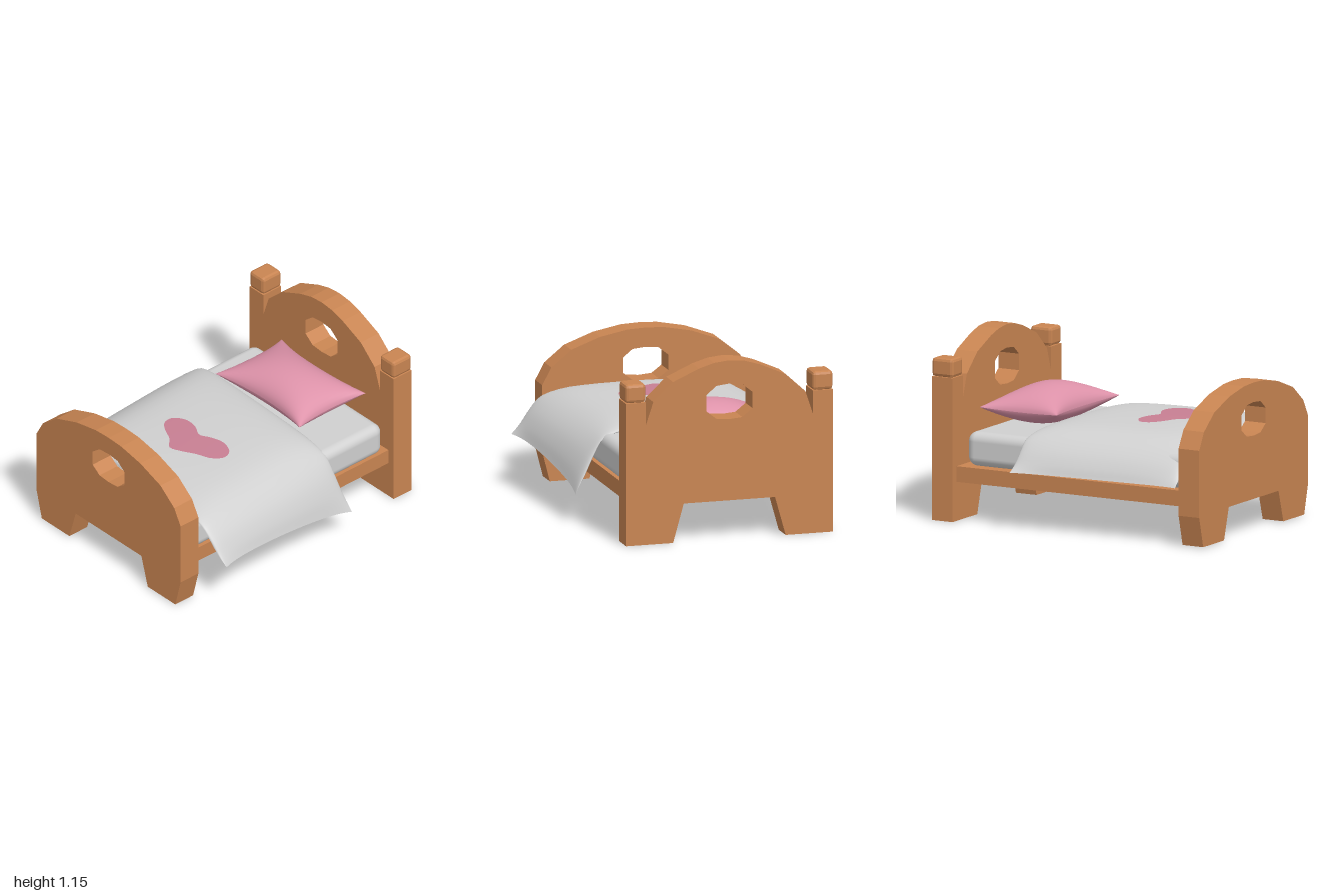
import * as THREE from 'three';
import { RoundedBoxGeometry } from 'three/addons/geometries/RoundedBoxGeometry.js';

const V2 = (p) => new THREE.Vector2(p[0], p[1]);
const mat = (name, color, opts = {}) => Object.assign(new THREE.MeshStandardMaterial({ color, ...opts }), { name });

// Closed outline from its right half (bottom to top), mirrored to the left
function mirrored(half) {
  const left = half.filter((p) => p[0] > 0).map(([x, y]) => [-x, y]).reverse();
  return [...half, ...left].map(V2);
}

// End board: symmetric outline with a hole, extruded along x from x0
function board(half, hole, x0, depth) {
  const shape = new THREE.Shape(mirrored(half));
  shape.holes.push(new THREE.Path(mirrored(hole)));
  const geo = new THREE.ExtrudeGeometry(shape, { depth, bevelEnabled: false });
  return geo.rotateY(Math.PI / 2).translate(x0, 0, 0);
}

// Stuffed cloth: an upper and a lower sheet, fn(u, v, isTop) with u, v in -1..1
function cushion(fn, n) {
  const pos = [], index = [];
  for (const top of [true, false]) {
    const base = pos.length / 3;
    for (let i = 0; i <= n; i++) for (let j = 0; j <= n; j++) {
      // sine spacing puts more rows near the seams
      const u = Math.sin((i / n - 0.5) * Math.PI), v = Math.sin((j / n - 0.5) * Math.PI);
      pos.push(...fn(u, v, top));
      if (i === n || j === n) continue;
      const a = base + i * (n + 1) + j, b = a + 1, c = a + n + 1, d = c + 1;
      index.push(...(top ? [a, b, c, b, d, c] : [a, c, b, b, c, d]));
    }
  }
  const geo = new THREE.BufferGeometry();
  geo.setAttribute('position', new THREE.Float32BufferAttribute(pos, 3));
  geo.setIndex(index);
  geo.computeVertexNormals();
  return geo;
}

export function createModel() {
  const model = new THREE.Group();
  const wood = mat('wood', 0xc98552, { flatShading: true });
  const linen = mat('linen', 0xd0d0d0, { side: THREE.DoubleSide });
  const pink = mat('pink', 0xdd92a9, { side: THREE.DoubleSide });
  const heartPink = mat('heartPink', 0xc87f93, { side: THREE.DoubleSide });

  // The frame stands slightly turned
  const frame = new THREE.Group();
  frame.name = 'frame';
  frame.position.z = -0.07;
  frame.rotation.y = 0.034;
  model.add(frame);
  const add = (parent, name, geo, material, x = 0, y = 0, z = 0) => {
    const mesh = new THREE.Mesh(geo, material);
    mesh.name = name;
    mesh.position.set(x, y, z);
    parent.add(mesh);
    return mesh;
  };

  // Headboard with posts, arch and leg cut-out
  add(frame, 'headboard', board(
    [[0, 0.25], [0.3, 0.25], [0.37, 0], [0.68, 0], [0.68, 0.92], [0.55, 0.92], [0.55, 0.77],
      [0.5, 0.92], [0.37, 1.04], [0.2, 1.115], [0.1, 1.145], [0, 1.155]],
    [[0, 0.775], [0.085, 0.782], [0.152, 0.835], [0.152, 0.94], [0.085, 0.995], [0, 1.005]],
    0.82, 0.15), wood);
  for (const s of [-1, 1]) {
    add(frame, 'postCap', new RoundedBoxGeometry(0.154, 0.12, 0.134, 1, 0.02), wood, 0.895, 0.98, s * 0.615);
  }

  // Footboard, lower, with rounded shoulders
  add(frame, 'footboard', board(
    [[0, 0.21], [0.31, 0.21], [0.37, 0.005], [0.63, 0.005], [0.68, 0.2], [0.68, 0.63],
      [0.62, 0.74], [0.49, 0.845], [0.3, 0.915], [0.12, 0.95], [0, 0.955]],
    [[0, 0.615], [0.085, 0.622], [0.15, 0.67], [0.15, 0.77], [0.085, 0.822], [0, 0.83]],
    -0.975, 0.15), wood);

  // Base and mattress
  add(frame, 'base', new THREE.BoxGeometry(1.68, 0.1, 1.26), wood, 0, 0.3, 0);
  add(frame, 'mattress', new RoundedBoxGeometry(1.61, 0.22, 1.22, 4, 0.06), linen, -0.025, 0.457, 0.025);

  // Blanket: half cross-sections from the middle out to the hanging hem
  const curve = (pts) => new THREE.CatmullRomCurve3(pts.map(([z, y]) => new THREE.Vector3(0, y, z)));
  const upper = curve([[0, 0.67], [0.3, 0.663], [0.5, 0.642], [0.63, 0.59], [0.73, 0.51], [0.79, 0.42], [0.82, 0.34]]);
  const lower = curve([[0, 0.56], [0.3, 0.56], [0.5, 0.56], [0.62, 0.54], [0.67, 0.47], [0.73, 0.4], [0.82, 0.34]]);
  const blanket = add(model, 'blanket', cushion((u, v, top) => {
    const t = Math.abs(v), s = Math.sign(v), k = (u + 1) / 2;
    const a = upper.getPoint(t), b = lower.getPoint(t);
    const seam = a.clone().lerp(b, 0.7);
    const puff = Math.sqrt(Math.max(0, 1 - u ** 4));
    const p = seam.lerp(top ? a : b, puff);
    const xFoot = -0.795 + 0.045 * v * t;
    const xHead = 0.315 + (v > 0 ? 0.055 * v ** 3 : 0);
    const hem = t ** 3 * (v > 0 ? -0.14 * k * k : 0.04);
    const reach = 0.95 + 0.03 * u ** 6;
    return [xFoot + (xHead - xFoot) * k, p.y + hem, 0.05 - 0.115 * k + s * p.z * reach];
  }, 44), linen);

  // Heart patch laid over the blanket as a thin skin
  const outline = new THREE.CatmullRomCurve3([
    [-0.49, -0.02], [-0.43, -0.09], [-0.39, -0.18], [-0.34, -0.25], [-0.27, -0.26], [-0.215, -0.18],
    [-0.225, -0.08], [-0.26, -0.005], [-0.225, 0.06], [-0.195, 0.15], [-0.225, 0.25], [-0.29, 0.28],
    [-0.36, 0.24], [-0.41, 0.14], [-0.46, 0.06],
  ].map(([x, z]) => new THREE.Vector3(x, 0, z)), true).getPoints(48);
  const ray = new THREE.Raycaster();
  const down = new THREE.Vector3(0, -1, 0);
  blanket.updateMatrixWorld(true);
  const pos = [], index = [], rings = 8;
  for (let r = 0; r <= rings; r++) outline.forEach((o, i) => {
    const p = new THREE.Vector3(-0.34, 0, 0).lerp(o, r / rings);
    ray.set(new THREE.Vector3(p.x, 2, p.z), down);
    const hit = ray.intersectObject(blanket)[0];
    pos.push(p.x, (hit ? hit.point.y : 0.67) + 0.005, p.z);
    if (r === rings || i === outline.length - 1) return;
    const a = r * outline.length + i, c = a + outline.length;
    index.push(a, c, a + 1, a + 1, c, c + 1);
  });
  const heart = new THREE.BufferGeometry();
  heart.setAttribute('position', new THREE.Float32BufferAttribute(pos, 3));
  heart.setIndex(index);
  heart.computeVertexNormals();
  add(model, 'heartPatch', heart, heartPink);

  // Pillow with pinched corners
  const pillow = add(model, 'pillow', cushion((u, v, top) => {
    const fill = Math.sqrt(Math.max(0, (1 - u * u) * (1 - v * v)));
    return [
      u * 0.28 * (1 - 0.21 * (1 - v * v)),
      (top ? 0.14 : -0.11) * fill + 0.015 * u * u * v * v,
      v * 0.395 * (1 - 0.1 * (1 - u * u)),
    ];
  }, 24), pink, 0.53, 0.67, -0.055);
  pillow.rotation.y = 0.038;

  return model;
}
